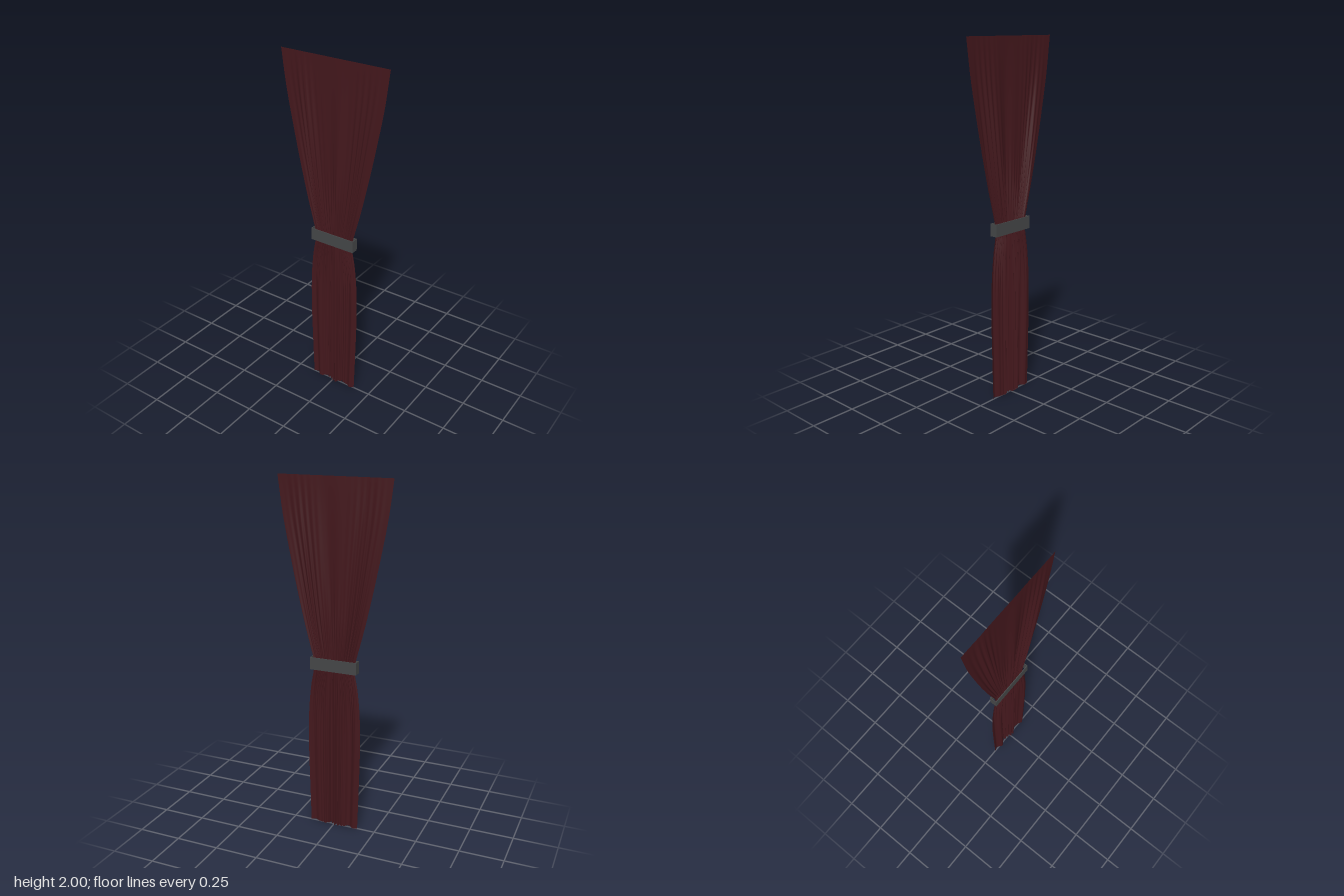
import * as THREE from 'three';

const smooth = THREE.MathUtils.smoothstep;

// Half width and fold depth at a few heights: [y, half width, depth]
const outline = [
  [0, 0.145, 0.018], [0.25, 0.152, 0.018], [0.5, 0.157, 0.018], [0.7, 0.153, 0.017],
  [0.85, 0.139, 0.014], [0.95, 0.122, 0.011], [1.0, 0.122, 0.009], [1.05, 0.134, 0.01],
  [1.2, 0.173, 0.013], [1.4, 0.219, 0.013], [1.6, 0.26, 0.01], [1.8, 0.297, 0.006], [2, 0.323, 0.0005],
];
const curve = new THREE.CatmullRomCurve3(outline.map((p) => new THREE.Vector3(...p)), false, 'centripetal');
const rows = 100;
const profile = curve.getSpacedPoints(rows);

// Depth of the folds, from -1 to 1, across the cloth (u from -1 to 1)
function fold(u, y) {
  const gathered = Math.exp(-(((y - 1) / 0.28) ** 2));
  const lower = 1 - smooth(y, 0.85, 1.15);
  const a = Math.abs(u);
  const broad = Math.sin(u * 9 + 0.6) * 0.55 + Math.sin(u * 17 - 0.8) * 0.25;
  const centre = Math.exp(-((a / 0.33) ** 2)) * Math.sin(u * 46 + 0.5);
  const sides = Math.exp(-(((a - 0.62) / 0.24) ** 2)) * Math.sin(u * 54 + 1.1);
  const tight = Math.sin(u * 62 + 0.4 * Math.sin(u * 11));
  const z = broad + 0.75 * lower * centre + (1 - lower) * 0.5 * sides + gathered * 0.35 * tight;
  return THREE.MathUtils.clamp(z, -1, 1) * (1 - 0.75 * smooth(a, 0.8, 1));
}

function createCloth(material) {
  const columns = 240;
  const geometry = new THREE.PlaneGeometry(2, 2, columns, rows);
  const position = geometry.attributes.position;
  for (let i = 0; i < position.count; i++) {
    const { x: y, y: halfWidth, z: depth } = profile[rows - Math.floor(i / (columns + 1))];
    const u = position.getX(i);
    position.setXYZ(i, u * halfWidth, y, fold(u, y) * depth);
  }
  geometry.computeVertexNormals();
  const cloth = new THREE.Mesh(geometry, material);
  cloth.name = 'curtainCloth';
  return cloth;
}

// Flat rectangular loop, open above and below
function createTieBand(material) {
  const rectangle = (path, w, d) => {
    path.moveTo(-w, -d);
    path.lineTo(w, -d);
    path.lineTo(w, d);
    path.lineTo(-w, d);
    path.closePath();
    return path;
  };
  const shape = rectangle(new THREE.Shape(), 0.137, 0.021);
  shape.holes.push(rectangle(new THREE.Path(), 0.134, 0.0165));
  const geometry = new THREE.ExtrudeGeometry(shape, { depth: 0.07, bevelEnabled: false });
  geometry.rotateX(-Math.PI / 2);
  const band = new THREE.Mesh(geometry, material);
  band.name = 'tieBand';
  band.position.set(0, 0.95, -0.001);
  return band;
}

export function createModel() {
  const group = new THREE.Group();
  group.name = 'tiedCurtain';
  const red = new THREE.MeshStandardMaterial({ color: 0x43171c, side: THREE.DoubleSide });
  const grey = new THREE.MeshStandardMaterial({ color: 0x444647 });
  group.add(createCloth(red), createTieBand(grey));
  return group;
}
